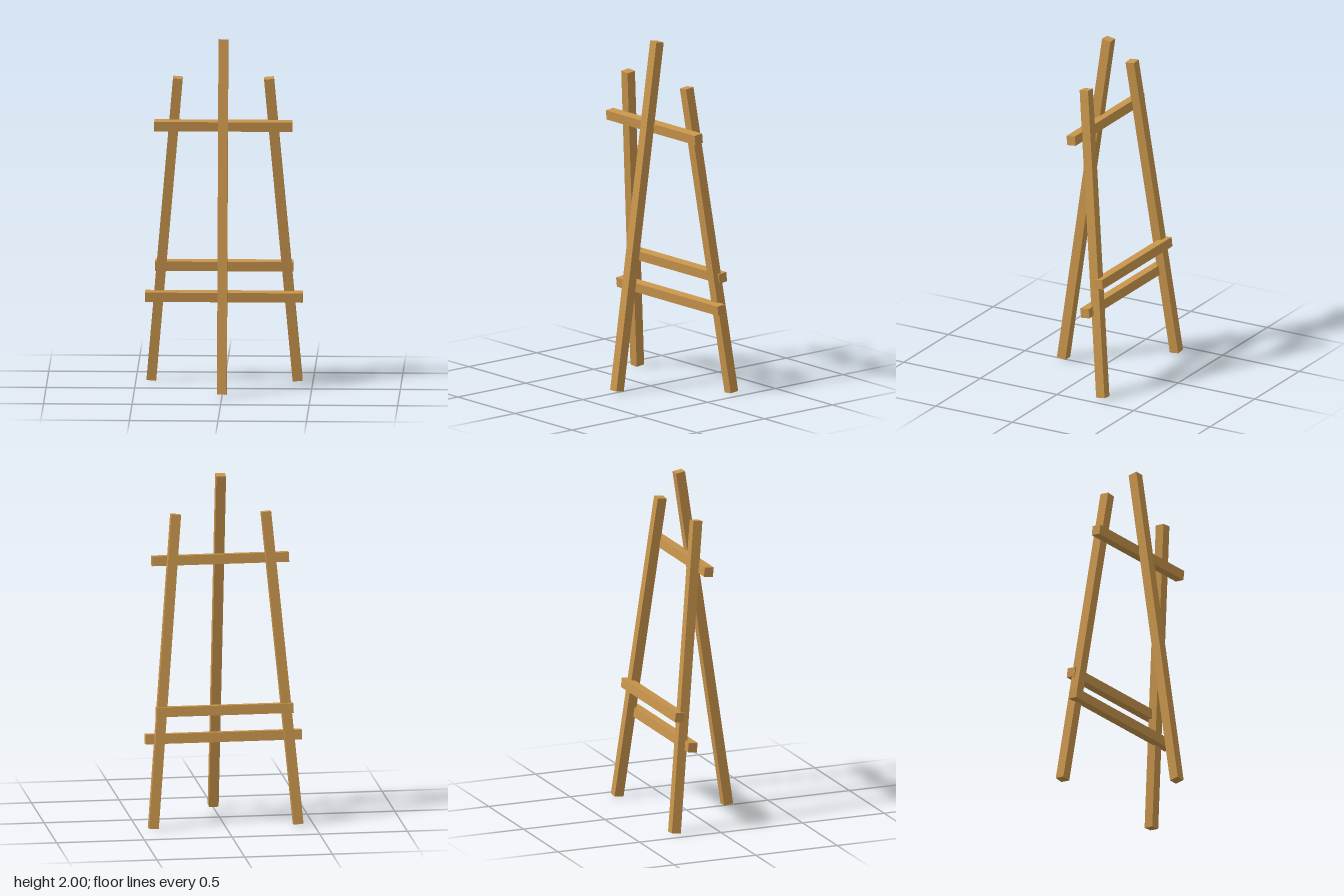
import * as THREE from 'three';

const T = 0.055; // square timber thickness

export function createModel() {
  const easel = new THREE.Group();
  easel.name = 'easel';
  const wood = new THREE.MeshStandardMaterial({ color: 0xc8954c });
  wood.name = 'tan wood';

  // square post running between the centres of its two ends
  function post(name, bottom, top) {
    const a = new THREE.Vector3(...bottom);
    const b = new THREE.Vector3(...top);
    const axis = b.clone().sub(a);
    const mesh = new THREE.Mesh(new THREE.BoxGeometry(T, axis.length(), T), wood);
    mesh.quaternion.setFromUnitVectors(new THREE.Vector3(0, 1, 0), axis.normalize());
    mesh.position.copy(a).add(b).multiplyScalar(0.5);
    mesh.name = name;
    easel.add(mesh);
  }

  // crossbar tilted to match the lean of the side legs
  function rail(name, length, y, z) {
    const mesh = new THREE.Mesh(new THREE.BoxGeometry(length, T, T), wood);
    mesh.position.set(0, y, z);
    mesh.rotation.x = 0.112;
    mesh.name = name;
    easel.add(mesh);
  }

  // three legs
  post('centreLeg', [0, 0.012, 0.248], [0, 1.996, -0.047]);
  for (const [side, s] of [['left', 1], ['right', -1]]) {
    post(side + 'Leg', [s * 0.413, 0.006, -0.249], [s * 0.257, 1.776, -0.05]);
  }

  // three crossbars
  rail('topRail', 0.78, 1.505, -0.028);
  rail('backRail', 0.78, 0.67, -0.206);
  rail('canvasLedge', 0.89, 0.502, -0.15);

  return easel;
}
